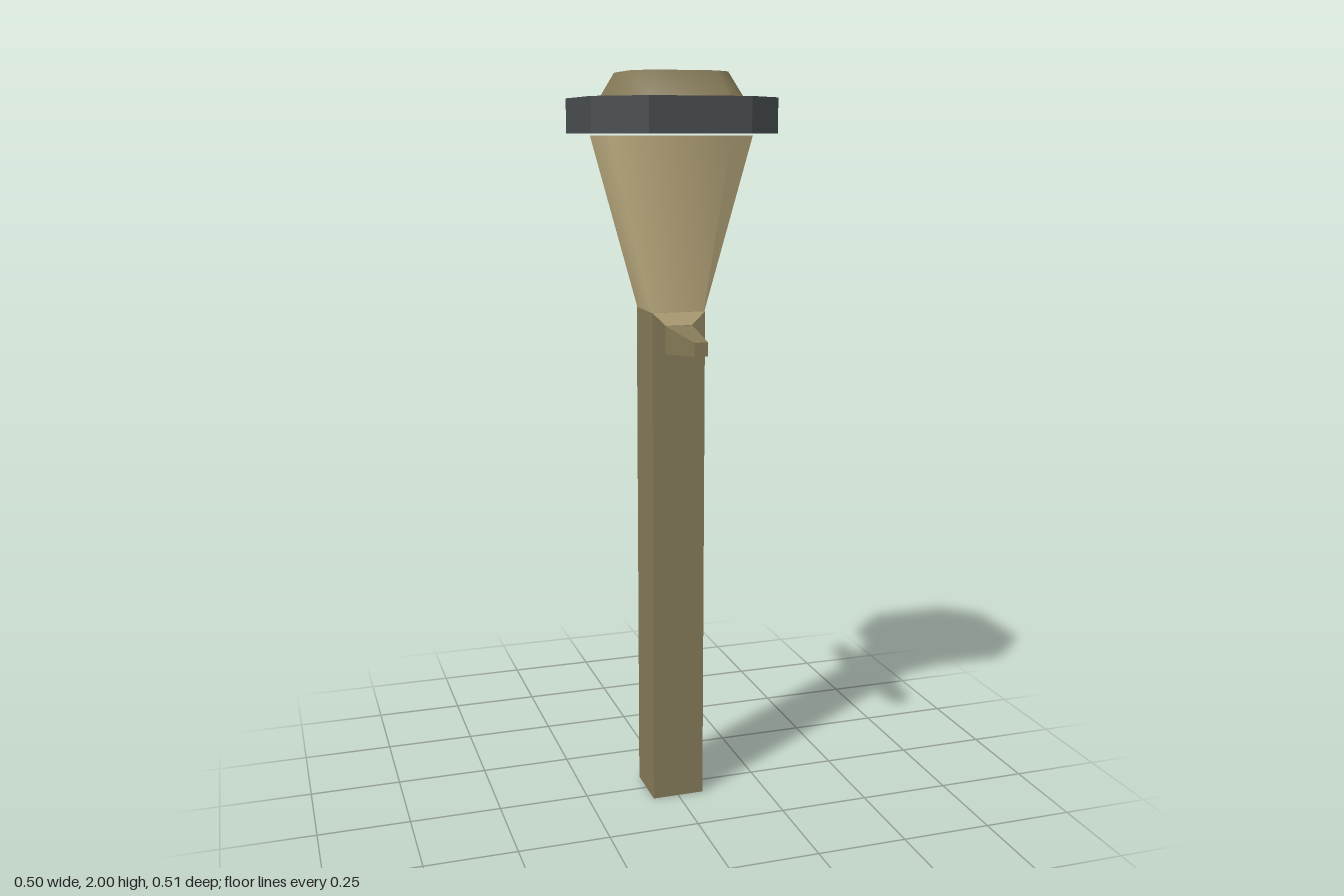
import * as THREE from 'three';

const mat = (name, color) => Object.assign(new THREE.MeshStandardMaterial({ color }), { name });

// Chamfered square outline, half width a, flat half length c (c = a gives a plain square)
function outline(a, c) {
  if (c === a) return [[a, a], [a, -a], [-a, -a], [-a, a]];
  return [[c, a], [a, c], [a, -c], [c, -a], [-c, -a], [-a, -c], [-a, c], [-c, a]];
}

// Side wall between two outlines
function wall(y0, a0, c0, y1, a1, c1, flat) {
  const lo = outline(a0, c0), hi = outline(a1, c1), n = lo.length;
  const pos = [], idx = [];
  lo.forEach(([x, z], i) => pos.push(x, y0, z, hi[i][0], y1, hi[i][1]));
  for (let i = 0; i < n; i++) {
    const p = 2 * i, q = 2 * ((i + 1) % n);
    idx.push(p, q, q + 1, p, q + 1, p + 1);
  }
  let g = new THREE.BufferGeometry();
  g.setAttribute('position', new THREE.Float32BufferAttribute(pos, 3));
  g.setIndex(idx);
  if (flat) g = g.toNonIndexed();
  g.computeVertexNormals();
  return g;
}

// Flat horizontal plate facing up or down
function plate(y, a, c, down) {
  const shape = new THREE.Shape(outline(a, c).map(([x, z]) => new THREE.Vector2(x, z)));
  return new THREE.ShapeGeometry(shape).rotateX(down ? Math.PI / 2 : -Math.PI / 2).translate(0, y, 0);
}

export function createModel() {
  const model = new THREE.Group();
  const olive = mat('olive wood', 0x857a58);
  const tan = mat('pale tan', 0xcdbb8b);
  const dark = mat('dark metal', 0x484d50);
  olive.side = tan.side = dark.side = THREE.DoubleSide;

  const add = (name, geometry, material, parent = model) => {
    const mesh = new THREE.Mesh(geometry, material);
    mesh.name = name;
    parent.add(mesh);
    return mesh;
  };

  // Square post, open at the foot
  const P = 0.073;
  // wall corners run so that faces look outward
  add('post', wall(1.385, P, P, 0, P, P, true), olive);

  // Flaring head
  add('head', wall(1.84, 0.192, 0.1, 1.385, P, 0.068), tan);

  // Collar with pale top and dark rim
  add('collarRim', wall(1.935, 0.248, 0.133, 1.845, 0.248, 0.133, true), dark);
  add('collarUnderside', plate(1.845, 0.248, 0.133, true), dark);
  add('collarTop', plate(1.935, 0.248, 0.133), olive);

  // Bevelled cap
  add('capBevel', wall(2, 0.13, 0.079, 1.935, 0.166, 0.1), olive);
  add('capTop', plate(2, 0.13, 0.079), olive);

  // Front and back: tapered peg under a pale neck panel
  const panel = new THREE.Shape([[-P, 1.385], [-0.036, 1.35], [0.036, 1.35], [P, 1.385]]
    .map(([x, y]) => new THREE.Vector2(x, y)));
  for (const side of ['front', 'back']) {
    const group = new THREE.Group();
    group.name = side + 'Peg';
    group.rotation.y = side === 'front' ? 0 : Math.PI;
    add('neckPanel', new THREE.ShapeGeometry(panel).translate(0, 0, P + 0.001), tan, group);
    const place = (g) => g.rotateX(Math.PI / 2).translate(0, 1.312, 0);
    add('pegSides', place(wall(0.257, 0.018, 0.018, P, 0.037, 0.037, true)), olive, group);
    add('pegTip', place(plate(0.257, 0.018, 0.018)), olive, group);
    model.add(group);
  }
  return model;
}
